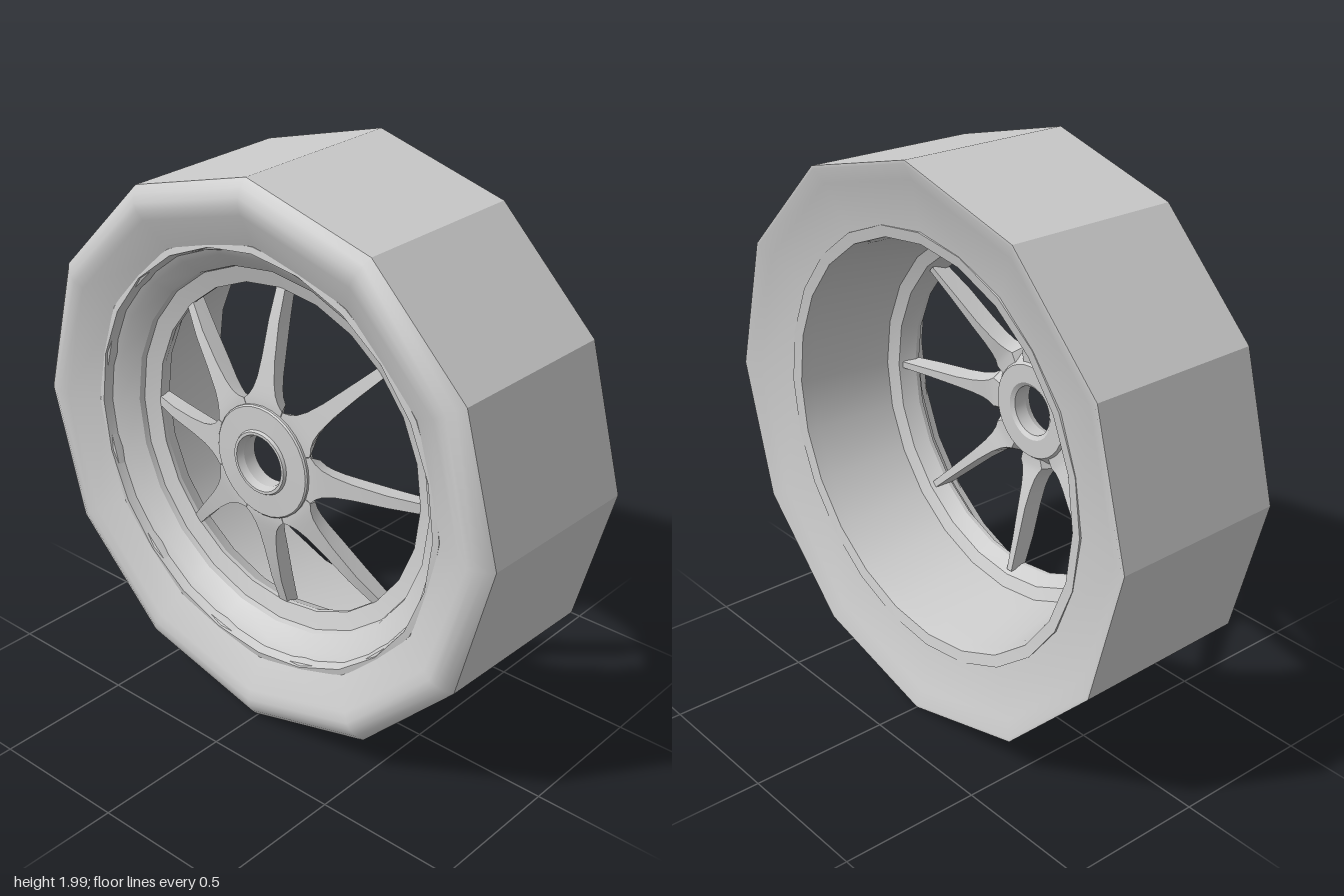
import * as THREE from 'three';
import { toCreasedNormals } from 'three/addons/utils/BufferGeometryUtils.js';

const grey = new THREE.MeshStandardMaterial({ color: 0xcccccc, side: THREE.DoubleSide });

// Revolves a closed [radius, z] profile around the wheel axis
function ring(name, profile, segments, crease) {
  const pts = [...profile, profile[0]].map(([r, z]) => new THREE.Vector2(r, z));
  const geo = new THREE.LatheGeometry(pts, segments).rotateX(Math.PI / 2);
  const mesh = new THREE.Mesh(toCreasedNormals(geo, crease), grey);
  mesh.name = name;
  return mesh;
}

// Lofts four-cornered sections [radius, half width, front z, depth] along +y
function spokeGeometry(stations) {
  const pos = [], index = [];
  for (const [r, w, z, d] of stations) {
    const b = w * 0.65;
    pos.push(-w, r, z, w, r, z, b, r, z - d, -b, r, z - d);
  }
  for (let i = 0; i < stations.length - 1; i++) {
    for (let k = 0; k < 4; k++) {
      const a = i * 4 + k, b = i * 4 + (k + 1) % 4;
      index.push(a, b, b + 4, a, b + 4, a + 4);
    }
  }
  const geo = new THREE.BufferGeometry();
  geo.setAttribute('position', new THREE.Float32BufferAttribute(pos, 3));
  geo.setIndex(index);
  return toCreasedNormals(geo, 0.6);
}

export function createModel() {
  const wheel = new THREE.Group();
  wheel.name = 'wheel';
  const body = new THREE.Group();
  body.name = 'wheelBody';
  body.position.y = 1;
  wheel.add(body);

  // Twelve-sided tyre with a rounded front shoulder and dished side walls
  body.add(ring('tyre', [
    [0.996, -0.337], [0.985, 0.30], [0.96, 0.322], [0.93, 0.336], [0.905, 0.338],
    [0.87, 0.328], [0.75, 0.272], [0.74, 0.24], [0.74, -0.25], [0.75, -0.28],
    [0.93, -0.312], [0.985, -0.337],
  ], 12, 0.5));

  // Rim: back lip, front lip, stepped front dish and tapering barrel
  body.add(ring('rim', [
    [0.757, -0.26], [0.757, 0.278], [0.735, 0.282], [0.725, 0.25], [0.70, 0.235],
    [0.65, 0.19], [0.645, 0.17], [0.585, 0.15], [0.585, 0.135], [0.612, 0.08],
    [0.655, 0.06], [0.705, -0.24], [0.715, -0.28], [0.755, -0.288],
  ], 24, 0.35));

  // Hub disc with a raised collar around the axle bore
  body.add(ring('hub', [
    [0.17, 0.18], [0.185, 0.2], [0.2, 0.215], [0.2, 0.248], [0.195, 0.253],
    [0.115, 0.255], [0.11, 0.265], [0.1, 0.265], [0.09, 0.24],
    [0.09, 0.19], [0.105, 0.18],
  ], 32, 0.35));

  // Eight spokes flaring into the hub and leaning back to the rim
  const geo = spokeGeometry([
    [0.16, 0.065, 0.24, 0.05], [0.205, 0.084, 0.24, 0.05], [0.225, 0.064, 0.238, 0.052],
    [0.25, 0.049, 0.234, 0.056], [0.29, 0.037, 0.226, 0.06], [0.36, 0.028, 0.212, 0.066],
    [0.48, 0.022, 0.185, 0.066], [0.60, 0.018, 0.145, 0.055],
  ]);
  const spokes = new THREE.Group();
  spokes.name = 'spokes';
  for (let i = 0; i < 8; i++) {
    const spoke = new THREE.Mesh(geo, grey);
    spoke.name = 'spoke';
    spoke.rotation.z = i * Math.PI / 4;
    spokes.add(spoke);
  }
  body.add(spokes);
  return wheel;
}
